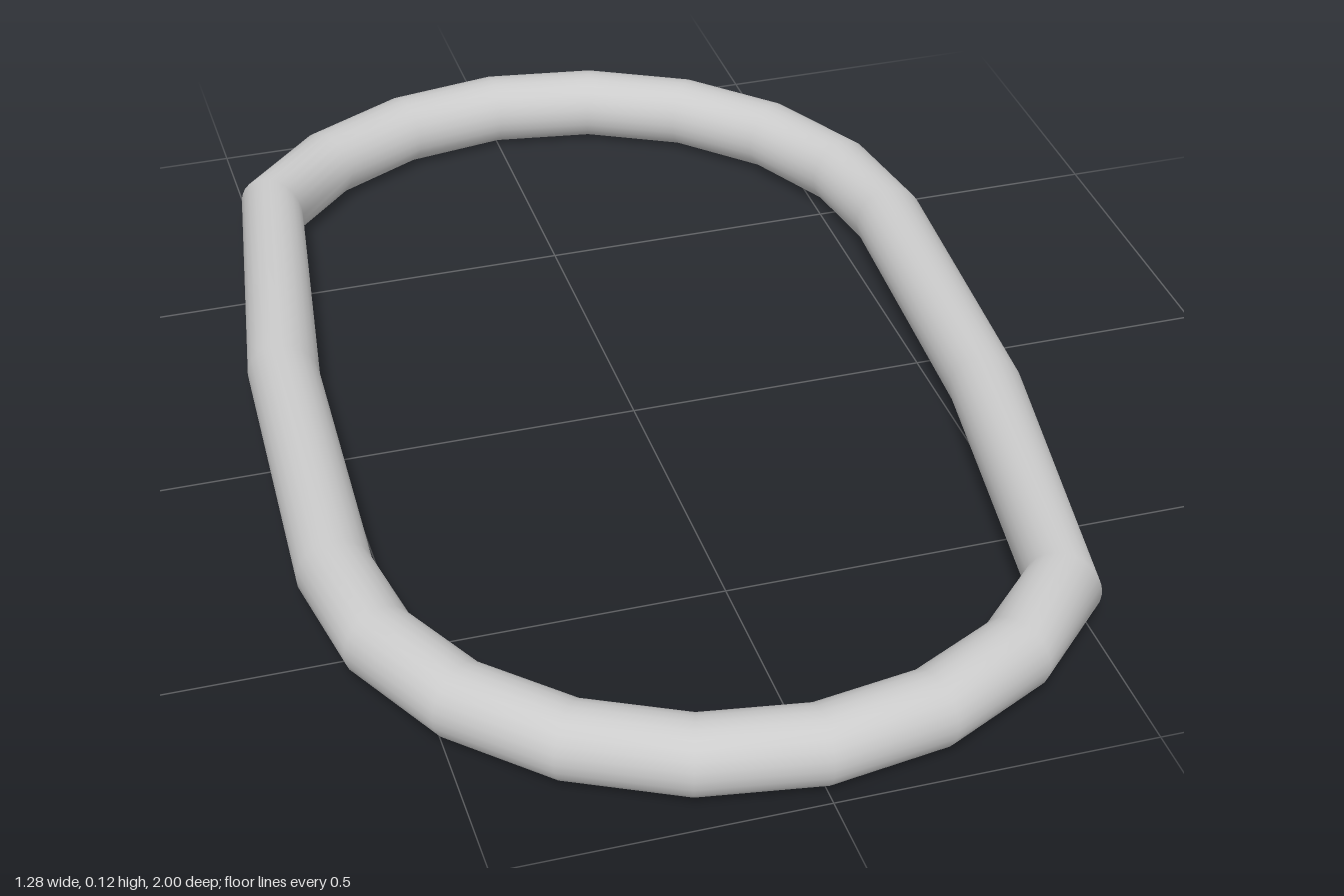
import * as THREE from 'three';
import { mergeVertices } from 'three/addons/utils/BufferGeometryUtils.js';

const RING = 0.578, TUBE = 0.06, STRETCH = 0.362, SEGMENTS = 20;

export function createModel() {
  const group = new THREE.Group();
  group.name = 'oblongLink';

  // Round ring lying flat, its first cross-section at +x, turning towards +z
  let geo = new THREE.TorusGeometry(RING, TUBE, 24, SEGMENTS);
  geo.rotateX(Math.PI / 2);

  // Pull the two halves apart; one section on each side stays in the middle
  const pos = geo.attributes.position;
  for (let i = 0; i < pos.count; i++) {
    const section = (i % (SEGMENTS + 1)) % SEGMENTS;
    const half = SEGMENTS / 2;
    let shift = 0;
    if (section % half !== 1) shift = section > 1 && section <= half ? STRETCH : -STRETCH;
    pos.setZ(i, pos.getZ(i) + shift);
  }

  // Weld the seams for smooth shading
  geo.deleteAttribute('uv');
  geo.deleteAttribute('normal');
  geo = mergeVertices(geo, 1e-4);
  geo.computeVertexNormals();
  geo.translate(0, TUBE, 0);

  const ring = new THREE.Mesh(geo, new THREE.MeshStandardMaterial({ color: 0xcccccc }));
  ring.name = 'ring';
  group.add(ring);
  return group;
}
